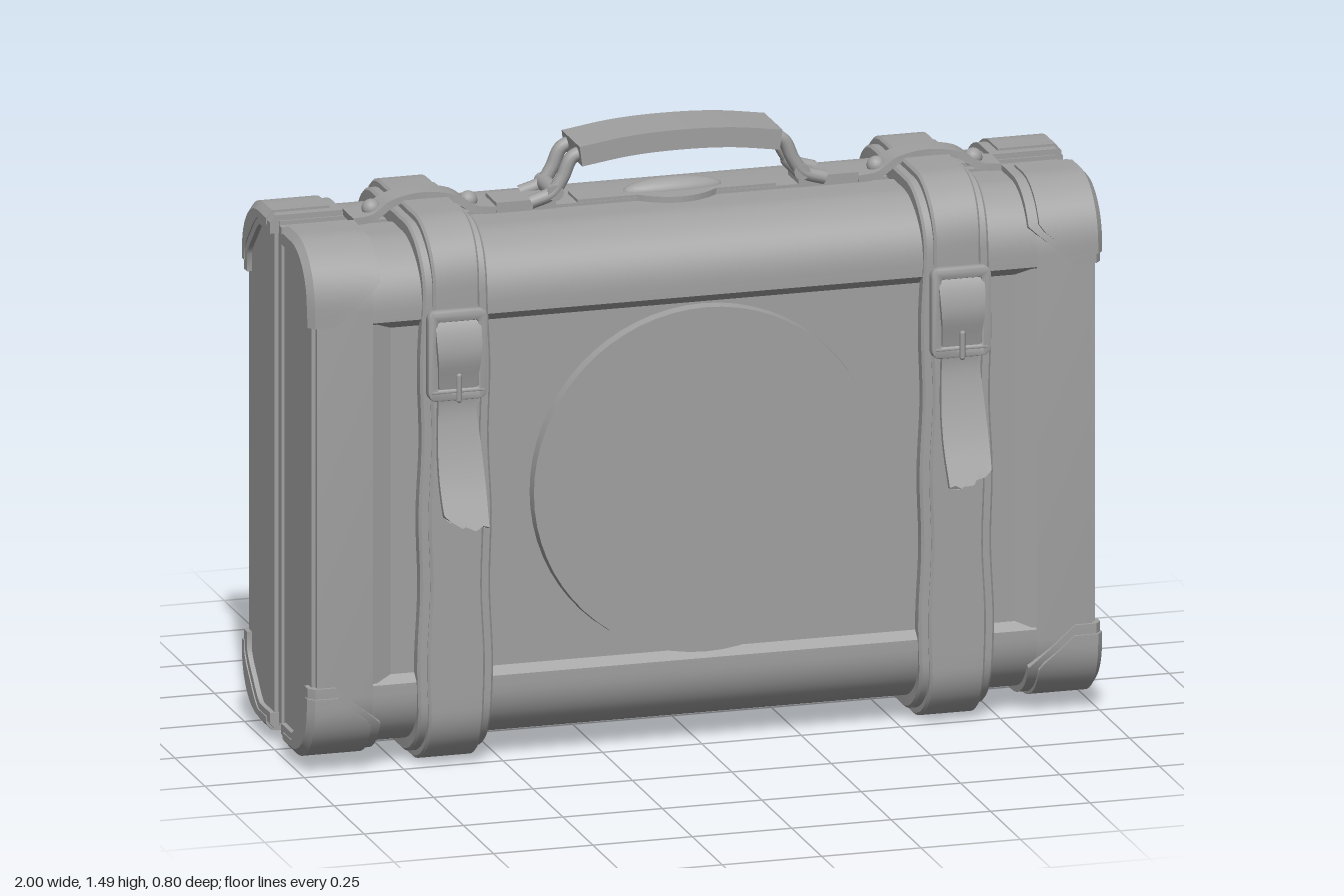
import * as THREE from 'three';
import { toCreasedNormals } from 'three/addons/utils/BufferGeometryUtils.js';

const grey = new THREE.MeshStandardMaterial({ color: 0xa0a0a0 });
grey.name = 'grey';

// Case dimensions
const TOP = 1.32, BOTTOM = 0.055, DEPTH = 0.275, RADIUS = 0.15, MIDY = (TOP + BOTTOM) / 2;

function add(parent, name, geo) {
  const m = new THREE.Mesh(geo, grey);
  m.name = name;
  parent.add(m);
  return m;
}

function box(parent, name, x0, x1, y0, y1, z0, z1) {
  const m = add(parent, name, new THREE.BoxGeometry(x1 - x0, y1 - y0, z1 - z0));
  m.position.set((x0 + x1) / 2, (y0 + y1) / 2, (z0 + z1) / 2);
  return m;
}

// Skin a list of closed rings and cap both ends; optional mirroring keeps the winding right
function loft(rings, sx = 1, sy = 1) {
  const n = rings[0].length, idx = [];
  const tri = (a, b, c) => (sx * sy > 0 ? idx.push(a, b, c) : idx.push(a, c, b));
  for (let i = 0; i < rings.length - 1; i++) {
    for (let j = 0; j < n; j++) {
      const a = i * n + j, b = i * n + (j + 1) % n;
      tri(a, b, b + n);
      tri(a, b + n, a + n);
    }
  }
  const last = (rings.length - 1) * n;
  for (let j = 1; j < n - 1; j++) {
    tri(0, j + 1, j);
    tri(last, last + j, last + j + 1);
  }
  const pts = rings.flat().map(([x, y, z]) => [x * sx, sy > 0 ? y : 2 * MIDY - y, z]);
  const g = new THREE.BufferGeometry();
  g.setAttribute('position', new THREE.Float32BufferAttribute(pts.flat(), 3));
  g.setIndex(idx);
  return toCreasedNormals(g, 0.6);
}

// Outline of one case half in z,y: top, round corner, front, round corner, bottom
function outline(oz, oy, z0, z1, frontSteps = 1) {
  const pts = [], R = RADIUS, zc = DEPTH + oz - R;
  const yt = TOP + oy - R, yb = BOTTOM - oy + R, N = 12;
  pts.push({ z: z0, y: yt + R, nz: 0, ny: 1 });
  const arc = (yc, from) => {
    for (let i = 0; i <= N; i++) {
      const a = from + (i / N) * Math.PI / 2;
      pts.push({ z: zc + R * Math.sin(a), y: yc + R * Math.cos(a), nz: Math.sin(a), ny: Math.cos(a) });
    }
  };
  arc(yt, 0);
  for (let i = 1; i < frontSteps; i++) {
    pts.push({ z: DEPTH + oz, y: yt + (yb - yt) * i / frontSteps, nz: 1, ny: 0 });
  }
  arc(yb, Math.PI / 2);
  pts.push({ z: z1, y: yb - R, nz: 0, ny: -1 });
  return pts;
}

function extrudeX(pts, x0, x1) {
  const shape = new THREE.Shape(pts.map(p => new THREE.Vector2(p.z, p.y)));
  const g = new THREE.ExtrudeGeometry(shape, { depth: x1 - x0, bevelEnabled: false });
  g.rotateY(-Math.PI / 2).translate(x1, 0, 0);
  return toCreasedNormals(g, 0.5);
}

// Flat band following [z, y] points, with a thickness below the path
function band(path, halfWidth, thick, jag = null) {
  const curve = new THREE.CatmullRomCurve3(path.map(([z, y]) => new THREE.Vector3(0, y, z)));
  const N = 28, C = jag ? jag.length - 1 : 1, rings = [];
  for (let i = 0; i <= N; i++) {
    const p = curve.getPoint(i / N), t = curve.getTangent(i / N), w = halfWidth(i / N);
    const ring = [];
    const put = (k, o) => {
      const e = jag && i === N ? jag[k] : 0;
      ring.push([w * (2 * k / C - 1), p.y + t.z * o + t.y * e, p.z - t.y * o + t.z * e]);
    };
    for (let k = 0; k <= C; k++) put(k, -thick);
    for (let k = C; k >= 0; k--) put(k, 0);
    rings.push(ring);
  }
  return loft(rings);
}

// Metal corner cap: wraps top, front and end, cut diagonally on the front
function corner(sx, sy, lift, trim) {
  const pts = outline(0.008 + lift, 0.014 + lift, 0.045 + trim, 0.045, 16);
  const endY = 1.14 + trim;
  const rings = pts.filter(p => p.y >= endY).concat([{ z: DEPTH + 0.008 + lift, y: endY, nz: 1, ny: 0 }]).map(p => {
    const xin = 0.815 + trim + 0.115 * THREE.MathUtils.clamp((1.24 - p.y) / 0.1, 0, 1);
    const d = 0.045 - trim * 0.4 + 0.05 * p.nz * p.ny;
    const at = (x, o) => [x, p.y + p.ny * o, p.z + p.nz * o];
    const xe = 0.997 + lift * 0.5;
    return [at(xin, -0.03), at(0.975, -d), at(xe, -d), at(xe, -0.018), at(xe - 0.015, 0), at(xin, 0)];
  });
  return loft(rings, sx, sy);
}

// Strap running over the top, front and bottom of one half
function strap(x, w, oz, oy, thick) {
  return loft(outline(oz, oy, 0, 0.03, 24).map(p => {
    const h = w + 0.012 * (1 - p.y / TOP) + 0.003 * Math.sin(p.y * 17 + x * 5);
    const at = (dx, o) => [x + dx, p.y + p.ny * o, p.z + p.nz * o];
    return [at(-h, -thick), at(h, -thick), at(h, -0.006), at(h - 0.006, 0), at(-h + 0.006, 0), at(-h, -0.006)];
  }));
}

function caseHalf() {
  const half = new THREE.Group();
  // Shell with a recessed panel between two full end sections
  const mid = outline(0, 0, 0.04, 0.04);
  const step = [[DEPTH, 1.14], [0.255, 1.12], [0.255, 0.25], [DEPTH, 0.23]].map(([z, y]) => ({ z, y }));
  mid.splice(14, 0, ...step);
  add(half, 'shellMiddle', extrudeX(mid, -0.835, 0.835));
  for (const s of [-1, 1]) {
    const span = (a, b) => [Math.min(s * a, s * b), Math.max(s * a, s * b)];
    add(half, 'shellEnd', extrudeX(outline(0, 0, 0.04, 0.04), ...span(0.835, 0.975)));
    add(half, 'endPanel', extrudeX(outline(-0.014, -0.014, 0.048, 0.048), ...span(0.97, 0.985)));
    // Sloped side edge of the recess
    const tri = new THREE.Shape([[0.835, 0.255], [0.835, DEPTH], [0.785, 0.255]].map(([x, z]) => new THREE.Vector2(s * x, -z)));
    add(half, 'panelBevel', new THREE.ExtrudeGeometry(tri, { depth: 0.9, bevelEnabled: false })
      .rotateX(-Math.PI / 2).translate(0, 0.235, 0));
    for (const v of [-1, 1]) {
      add(half, 'cornerCap', corner(s, v, 0, 0));
      add(half, 'cornerCapRidge', corner(s, v, 0.006, 0.025));
    }
    add(half, 'strapBase', strap(s * 0.63, 0.083, 0.012, 0.03, 0.04));
    add(half, 'strapTop', strap(s * 0.63, 0.06, 0.02, 0.048, 0.04));
  }
  // Raised round plate in the recess
  const disc = add(half, 'roundPlate', new THREE.CylinderGeometry(0.432, 0.436, 0.035, 64));
  disc.rotation.x = Math.PI / 2;
  disc.position.set(0, 0.68, 0.264);
  box(half, 'openingRim', -0.978, 0.978, 0.065, 1.312, 0.012, 0.033);
  return half;
}

// Buckle with the worn strap end hanging from it
function buckle(side) {
  const g = new THREE.Group();
  g.name = 'buckle';
  const rect = (w, h, r) => {
    const s = new THREE.Path();
    s.moveTo(-w + r, -h).lineTo(w - r, -h).quadraticCurveTo(w, -h, w, -h + r).lineTo(w, h - r)
      .quadraticCurveTo(w, h, w - r, h).lineTo(-w + r, h).quadraticCurveTo(-w, h, -w, h - r)
      .lineTo(-w, -h + r).quadraticCurveTo(-w, -h, -w + r, -h);
    return s;
  };
  const frame = new THREE.Shape(rect(0.07, 0.108, 0.02).getPoints(6));
  frame.holes.push(rect(0.055, 0.09, 0.012));
  const fg = new THREE.ExtrudeGeometry(frame, { depth: 0.018, bevelSize: 0.005, bevelThickness: 0.005, bevelSegments: 2 });
  add(g, 'buckleFrame', toCreasedNormals(fg, 0.6)).position.set(0, 1.055, 0.296);
  add(g, 'buckleProng', new THREE.CapsuleGeometry(0.007, 0.06, 4, 8)).position.set(0, 0.975, 0.324);
  add(g, 'buckleBar', new THREE.CylinderGeometry(0.008, 0.008, 0.13, 10).rotateZ(Math.PI / 2)).position.set(0, 0.965, 0.312);
  const path = [[0.29, 1.165], [0.318, 1.13], [0.334, 1.06], [0.32, 0.99], [0.31, 0.93], [0.322, 0.85], [0.352, 0.75], [0.393, 0.655]];
  const jag = [-0.02, -0.005, -0.012, 0.012, -0.008, 0.02, 0.01, 0.014];
  add(g, 'strapTail', band(path, t => 0.052 + 0.005 * Math.sin(t * 9), 0.014, side < 0 ? jag : jag.slice().reverse()));
  g.position.x = side * 0.633;
  return g;
}

export function createModel() {
  const model = new THREE.Group();
  model.name = 'suitcase';

  // Two matching halves around a narrow core
  for (const [name, turn] of [['frontHalf', 0], ['backHalf', Math.PI]]) {
    const half = caseHalf();
    half.name = name;
    half.rotation.y = turn;
    model.add(half);
  }
  box(model, 'core', -0.955, 0.955, 0.075, 1.3, -0.045, 0.045);

  for (const s of [-1, 1]) {
    // Buckles: tails hang down in front and stand up behind
    model.add(buckle(s));
    const back = buckle(s);
    back.rotation.x = Math.PI;
    back.position.y = 1.57;
    model.add(back);

    // Riveted keeper across each strap on the top
    const keeper = [[-0.18, 1.337], [-0.13, 1.342], [-0.08, 1.372], [0, 1.384], [0.08, 1.372], [0.13, 1.342], [0.18, 1.337]];
    const k = add(model, 'strapKeeper', band(keeper, t => 0.03 + 0.016 * Math.abs(2 * t - 1), 0.018));
    k.rotation.y = Math.PI / 2;
    k.position.x = s * 0.635;
    for (const x of [0.513, 0.757]) {
      add(model, 'rivet', new THREE.SphereGeometry(0.023, 16, 10)).position.set(s * x, 1.346, 0);
    }

    // Handle mounts and paired rods
    box(model, 'handleTab', s * 0.38 - 0.075, s * 0.38 + 0.075, 1.31, 1.346, -0.045, 0.045);
    const pin = add(model, 'handlePin', new THREE.CylinderGeometry(0.02, 0.02, 0.12, 16));
    pin.rotation.x = Math.PI / 2;
    pin.position.set(s * 0.31, 1.362, 0);
    for (const z of [-0.045, 0.045]) {
      const pts = [[0.22, 1.46], [0.265, 1.445], [0.29, 1.395], [0.315, 1.36], [0.37, 1.34]];
      const curve = new THREE.CatmullRomCurve3(pts.map(([x, y]) => new THREE.Vector3(s * x, y, z)));
      add(model, 'handleRod', new THREE.TubeGeometry(curve, 24, 0.017, 10));
    }
  }

  // Arched grip
  const arch = [[-0.255, 1.478], [-0.13, 1.495], [0, 1.5], [0.13, 1.495], [0.255, 1.478]];
  add(model, 'handleGrip', band(arch, () => 0.076, 0.05)).rotation.y = Math.PI / 2;

  // Top strip and lock plate under the handle
  box(model, 'topStrip', -0.48, 0.48, 1.3, 1.328, -0.042, 0.042);
  const plate = new THREE.Shape();
  plate.moveTo(-0.25, -0.04).lineTo(-0.1, -0.04).quadraticCurveTo(0, -0.13, 0.1, -0.04).lineTo(0.25, -0.04)
    .lineTo(0.25, 0.04).lineTo(0.1, 0.04).quadraticCurveTo(0, 0.13, -0.1, 0.04).lineTo(-0.25, 0.04);
  add(model, 'lockPlate', new THREE.ExtrudeGeometry(plate, { depth: 0.025, bevelEnabled: false })
    .rotateX(-Math.PI / 2).translate(0, 1.31, 0));
  const dome = add(model, 'lockDome', new THREE.SphereGeometry(1, 32, 16));
  dome.scale.set(0.125, 0.03, 0.035);
  dome.position.set(0, 1.332, 0);
  return model;
}
